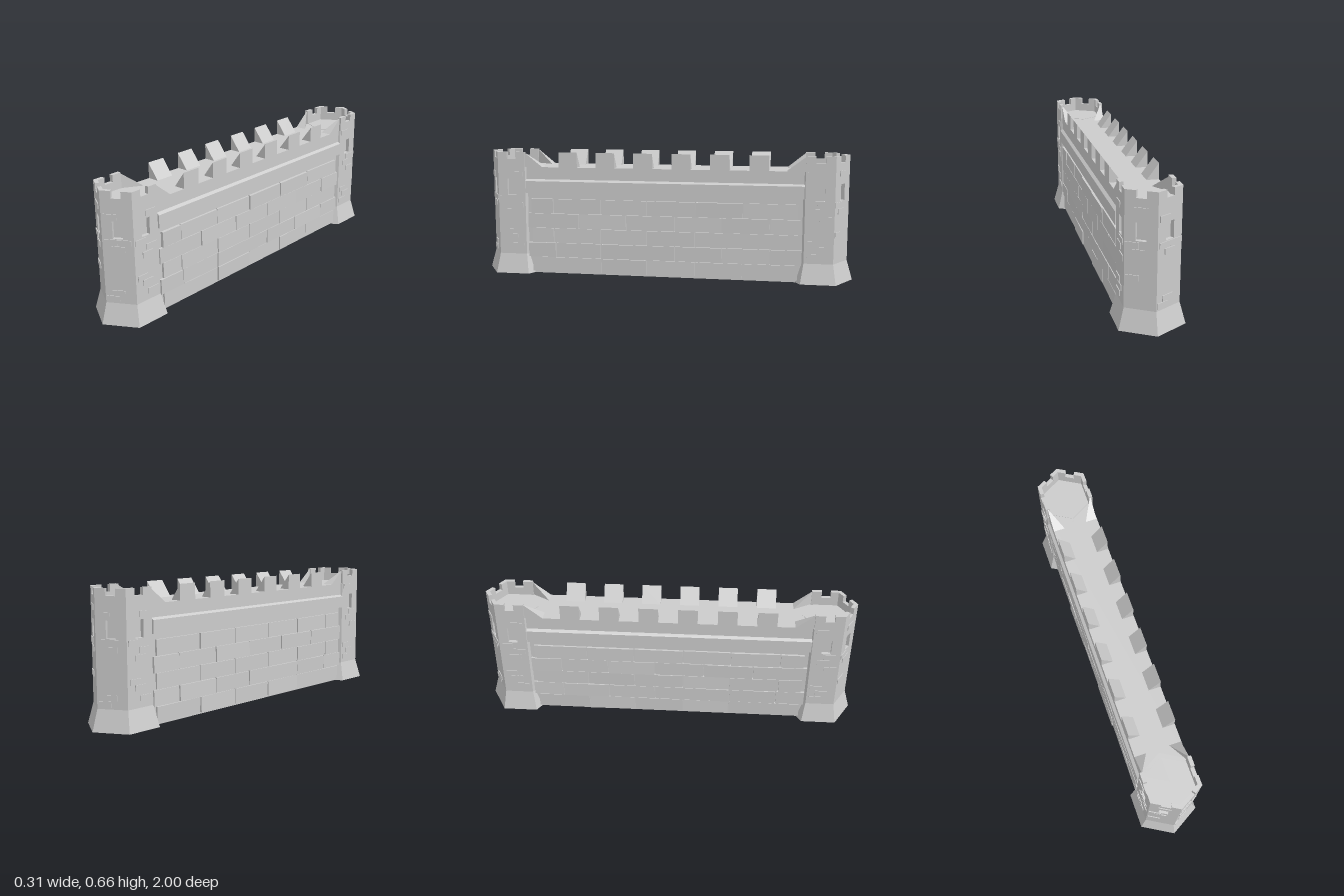
import * as THREE from 'three';
import { ConvexGeometry } from 'three/addons/geometries/ConvexGeometry.js';

const stone = new THREE.MeshStandardMaterial({ color: 0xcccccc, flatShading: true });

const TOWER_Z = 0.819, R = 0.15, APOTHEM = R * Math.cos(Math.PI / 6);
const FLOOR = 0.58, TOP = 0.66, PANEL = 0.02;

function add(parent, name, geometry, x = 0, y = 0, z = 0) {
  const mesh = new THREE.Mesh(geometry, stone);
  mesh.name = name;
  mesh.position.set(x, y, z);
  parent.add(mesh);
  return mesh;
}

function makeRandom(seed) {
  return () => (seed = (seed * 16807) % 2147483647) / 2147483647;
}

function hull(points) {
  return new ConvexGeometry(points.map((p) => new THREE.Vector3(...p)));
}

// One side of a tower: notched parapet on top and a window opening
function outerPanel() {
  const w = R / 2, n = 0.024, low = 0.625;
  const shape = new THREE.Shape([
    [-w, 0.1], [w, 0.1], [w, TOP], [n, TOP], [n, low], [-n, low], [-n, TOP], [-w, TOP],
  ].map((p) => new THREE.Vector2(...p)));
  shape.holes.push(new THREE.Path([
    [-n, 0.43], [-n, 0.515], [n, 0.515], [n, 0.43],
  ].map((p) => new THREE.Vector2(...p))));
  return new THREE.ExtrudeGeometry(shape, { depth: PANEL, bevelEnabled: false });
}

// Raised stones per tower side: [sideways, height]
const SIDES = [
  { angle: -30, stones: [[0, 0.57], [-0.04, 0.41], [-0.012, 0.377], [-0.038, 0.255]] },
  { angle: 30, stones: [[-0.033, 0.536], [-0.033, 0.413], [0.031, 0.413], [0, 0.38], [-0.008, 0.158], [-0.038, 0.128]] },
  { angle: -90, stones: [[-0.03, 0.565], [0.02, 0.41], [-0.01, 0.377], [0.03, 0.335], [-0.03, 0.21], [0, 0.178], [-0.03, 0.14]] },
  { angle: 90, stones: [[0.03, 0.54], [-0.035, 0.41], [0.03, 0.375], [0.005, 0.34], [-0.03, 0.23], [0, 0.2], [0.03, 0.15]] },
];

function createTower() {
  const tower = new THREE.Group();
  add(tower, 'flaredBase', new THREE.CylinderGeometry(R, 0.181, 0.105, 6), 0, 0.0525);

  // Inner core closes the window recesses and carries the tower floor
  const coreR = (APOTHEM - PANEL) / Math.cos(Math.PI / 6);
  add(tower, 'towerCore', new THREE.CylinderGeometry(coreR, coreR, FLOOR - 0.098, 6), 0, (FLOOR + 0.102) / 2);

  const panel = outerPanel();
  for (const { angle, stones } of SIDES) {
    const side = new THREE.Group();
    side.name = 'towerSide';
    side.rotation.y = THREE.MathUtils.degToRad(angle);
    add(side, 'towerPanel', panel, 0, 0, APOTHEM - PANEL);
    for (const [u, y] of stones) {
      add(side, 'raisedStone', new THREE.BoxGeometry(0.063, 0.028, 0.008), u, y, APOTHEM);
    }
    tower.add(side);
  }

  // Plain sides that meet the wall
  for (const angle of [-150, 150]) {
    const side = new THREE.Group();
    side.name = 'towerInnerSide';
    side.rotation.y = THREE.MathUtils.degToRad(angle);
    add(side, 'plainPanel', new THREE.BoxGeometry(R, FLOOR - 0.1, PANEL), 0, (FLOOR + 0.1) / 2, APOTHEM - PANEL / 2);
    tower.add(side);
  }
  return tower;
}

// Wall body with a projecting band below the walkway
function createWallBody() {
  const half = [[0.113, 0], [0.113, 0.44], [0.135, 0.44], [0.135, 0.505], [0.12, 0.515], [0.12, FLOOR]];
  const outline = [...half, ...half.map(([x, y]) => [-x, y]).reverse()];
  const shape = new THREE.Shape(outline.map((p) => new THREE.Vector2(...p)));
  return new THREE.ExtrudeGeometry(shape, { depth: 1.48, bevelEnabled: false }).translate(0, 0, -0.74);
}

// Staggered courses of slightly uneven stones on one wall face
function createStonework(side) {
  const group = new THREE.Group();
  group.name = side > 0 ? 'leftStonework' : 'rightStonework';
  const random = makeRandom(side > 0 ? 71 : 523);
  const joints = [
    [0.33, 0.08, -0.18, -0.43],
    [0.58, 0.33, -0.07, -0.32, -0.57],
    [0.59, 0.33, 0.08, -0.18, -0.43],
    [0.45, 0.19, -0.07, -0.32, -0.57],
    [0.59, 0.33, 0.08, -0.18, -0.43],
  ];
  joints.forEach((row, i) => {
    const end = i % 2 ? 0.735 : 0.715;
    const cuts = [end, ...row, -end];
    for (let k = 0; k + 1 < cuts.length; k++) {
      const length = cuts[k] - cuts[k + 1] - 0.005;
      const brick = add(group, 'wallStone', new THREE.BoxGeometry(0.024, 0.078, length),
        side * (0.111 + random() * 0.005), 0.05 + i * 0.08, (cuts[k] + cuts[k + 1]) / 2);
      brick.rotation.set((random() - 0.5) * 0.012, (random() - 0.5) * 0.02, (random() - 0.5) * 0.06);
    }
  });
  return group;
}

export function createModel() {
  const model = new THREE.Group();
  model.name = 'fortifiedWall';

  for (const end of [1, -1]) {
    const tower = createTower();
    tower.name = end > 0 ? 'frontTower' : 'backTower';
    tower.position.z = end * TOWER_Z;
    if (end < 0) tower.rotation.y = Math.PI;
    model.add(tower);
  }

  add(model, 'wallBody', createWallBody());

  for (const s of [1, -1]) {
    model.add(createStonework(s));

    // Wedge-shaped merlons along the walkway
    for (let i = 0; i < 6; i++) {
      const section = [[s * 0.12, FLOOR], [s * 0.12, TOP], [s * 0.06, FLOOR]];
      const wedge = hull([-0.05, 0.05].flatMap((z) => section.map(([x, y]) => [x, y, z])));
      add(model, 'merlon', wedge, 0, 0, (i - 2.5) * 0.203);
    }

    // Sloping end pieces that run up to the tower parapets
    for (const e of [1, -1]) {
      add(model, 'endRamp', hull([
        [s * 0.12, FLOOR, e * 0.65], [s * 0.06, FLOOR, e * 0.65],
        [s * 0.12, FLOOR, e * 0.75], [s * 0.12, TOP, e * 0.75],
      ]));
    }
  }
  return model;
}
